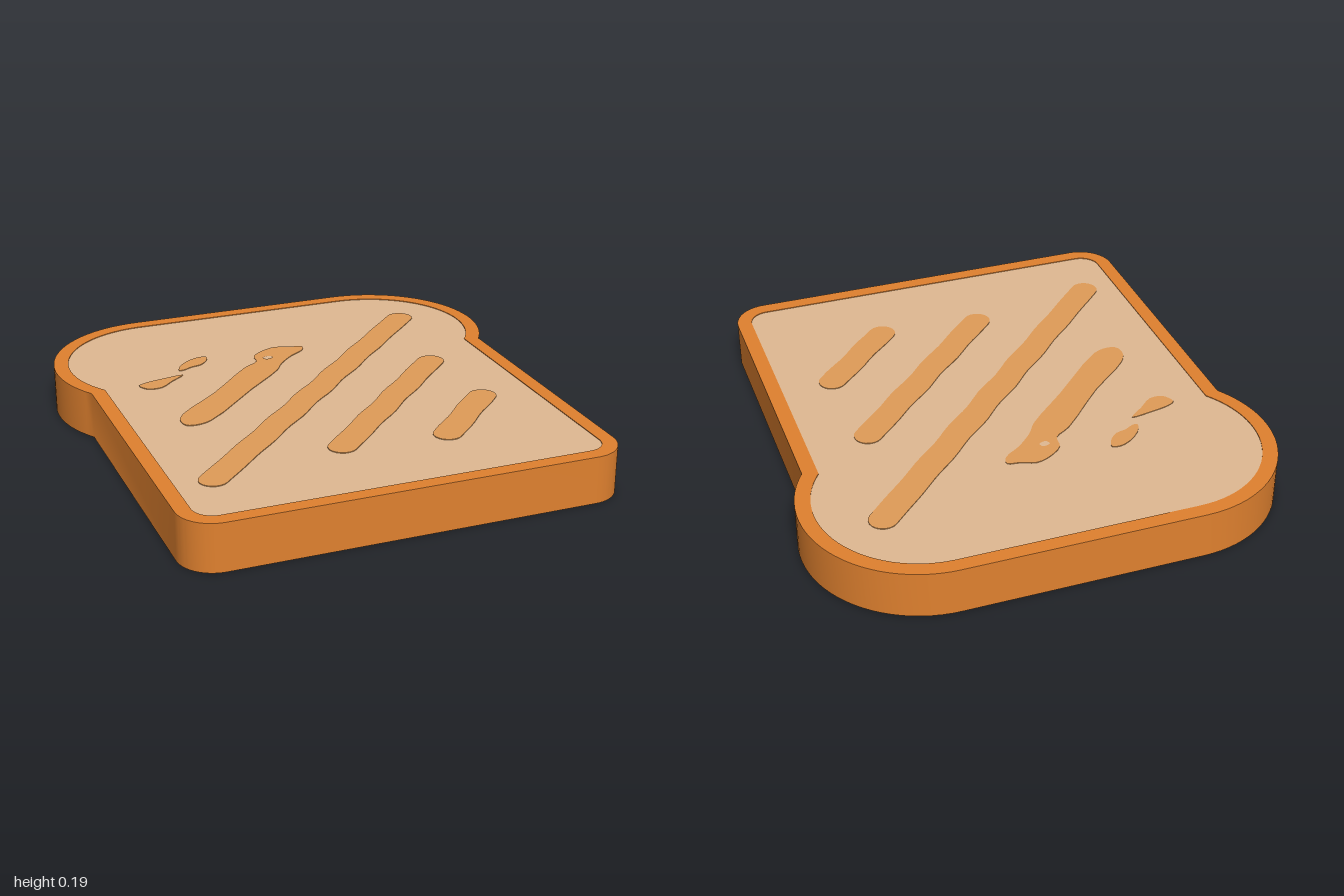
import * as THREE from 'three';
import { toCreasedNormals } from 'three/addons/utils/BufferGeometryUtils.js';

const HEIGHT = 0.19;
const GAP = 0.003; // thickness of the grill marks

function material(name, color) {
  const m = new THREE.MeshStandardMaterial({ color });
  m.name = name;
  return m;
}

// Slice outline, moved inwards by inset; shape y points to the back (-z)
function sliceShape(inset) {
  const s = new THREE.Shape();
  const corner = 0.14 - inset, crown = 0.47 - inset;
  const neck = Math.acos((0.39 - inset) / crown);
  s.absarc(0.72, -0.86, corner, -Math.PI / 2, 0, false);
  s.absarc(0.47, 0.53, crown, -neck, Math.PI / 2, false);
  s.absarc(-0.47, 0.53, crown, Math.PI / 2, Math.PI + neck, false);
  s.absarc(-0.72, -0.86, corner, Math.PI, Math.PI * 1.5, false);
  s.closePath();
  return s;
}

// Lays a shape flat and extrudes it upwards from y
function slab(name, shapes, mat, y, depth) {
  let g = new THREE.ExtrudeGeometry(shapes, { depth, bevelEnabled: false, curveSegments: 14 });
  g.rotateX(-Math.PI / 2);
  g = toCreasedNormals(g, 0.6);
  const mesh = new THREE.Mesh(g, mat);
  mesh.name = name;
  mesh.position.y = y;
  return mesh;
}

// Hand-drawn outline through [x, z] points
function blob(points, holePoints) {
  const outline = (pts) => new THREE.CatmullRomCurve3(
    pts.map(([x, z]) => new THREE.Vector3(x, -z, 0)), true, 'centripetal'
  ).getPoints(pts.length * 3).slice(0, -1).map((p) => new THREE.Vector2(p.x, p.y));
  const s = new THREE.Shape(outline(points));
  if (holePoints) s.holes.push(new THREE.Path(outline(holePoints)));
  return s;
}

// Round-ended stripe between two [x, z] points, with slightly uneven edges
function stripe([x0, z0], [x1, z1], half = 0.056) {
  const a = new THREE.Vector2(x0, -z0), b = new THREE.Vector2(x1, -z1);
  const dir = b.clone().sub(a), length = dir.length();
  dir.normalize();
  const side = new THREE.Vector2(-dir.y, dir.x);
  const pts = [];
  const add = (along, across) =>
    pts.push(a.clone().addScaledVector(dir, along).addScaledVector(side, across));
  const n = Math.round(length / 0.05);
  for (const sign of [-1, 1]) {
    for (let i = 1; i < n; i++) {
      const t = sign < 0 ? i / n : 1 - i / n;
      const w = half + 0.004 * Math.sin(t * length * 23 + sign) * Math.sin(t * Math.PI);
      add(t * length, sign * w);
    }
    const end = sign < 0 ? length : 0;
    for (let i = 0; i <= 10; i++) {
      const angle = (i / 10) * Math.PI;
      add(end - sign * half * Math.sin(angle), sign * half * Math.cos(angle));
    }
  }
  return new THREE.Shape(pts);
}

export function createModel() {
  const crustColor = material('crust brown', 0xe0812f);
  const crumbColor = material('crumb beige', 0xe0b992);
  const toastColor = material('toasted orange', 0xe09c58);
  const toast = new THREE.Group();
  toast.name = 'toastSlice';

  // Crust ring around the soft crumb
  const ring = sliceShape(0);
  ring.holes.push(sliceShape(0.06));
  toast.add(slab('crust', ring, crustColor, 0, HEIGHT));
  toast.add(slab('crumb', sliceShape(0.06), crumbColor, GAP, HEIGHT - 2 * GAP));

  // Diagonal grill marks found on both faces
  const shared = [
    stripe([-0.655, 0.665], [0.648, -0.635]),
    stripe([-0.12, 0.57], [0.555, -0.105]),
    stripe([0.295, 0.605], [0.588, 0.312]),
  ];

  // Broken marks on the upper face
  const upper = [
    blob([[-0.61, 0.12], [-0.58, 0.06], [-0.4, -0.1], [-0.2, -0.31], [-0.13, -0.36], [-0.12, -0.42],
      [-0.06, -0.47], [0, -0.49], [0.06, -0.47], [0.11, -0.46], [0.1, -0.42], [0.03, -0.37],
      [-0.04, -0.3], [-0.08, -0.24], [-0.25, -0.08], [-0.5, 0.16], [-0.56, 0.18], [-0.6, 0.17]],
    [[-0.09, -0.39], [-0.06, -0.4], [-0.05, -0.38], [-0.08, -0.37]]),
    blob([[-0.46, -0.38], [-0.44, -0.43], [-0.36, -0.49], [-0.31, -0.49], [-0.32, -0.45],
      [-0.36, -0.41], [-0.4, -0.4], [-0.44, -0.38]]),
    blob([[-0.66, -0.28], [-0.63, -0.3], [-0.54, -0.32], [-0.46, -0.33], [-0.52, -0.28],
      [-0.58, -0.23], [-0.63, -0.23], [-0.65, -0.25]]),
  ];

  // Broken marks on the lower face
  const lower = [
    stripe([-0.56, 0.12], [-0.18, -0.26]),
    blob([[-0.19, -0.3], [-0.14, -0.37], [-0.1, -0.44], [-0.04, -0.48], [0.03, -0.5], [0.1, -0.56],
      [0.14, -0.55], [0.08, -0.48], [0, -0.44], [-0.02, -0.38], [-0.09, -0.33], [-0.14, -0.25]]),
    blob([[-0.44, -0.4], [-0.5, -0.31], [-0.57, -0.25], [-0.63, -0.25], [-0.67, -0.31],
      [-0.6, -0.3], [-0.52, -0.35]]),
  ];

  toast.add(slab('upperGrillMarks', [...shared, ...upper], toastColor, HEIGHT - GAP, GAP));
  toast.add(slab('lowerGrillMarks', [...shared, ...lower], toastColor, 0, GAP));
  return toast;
}
